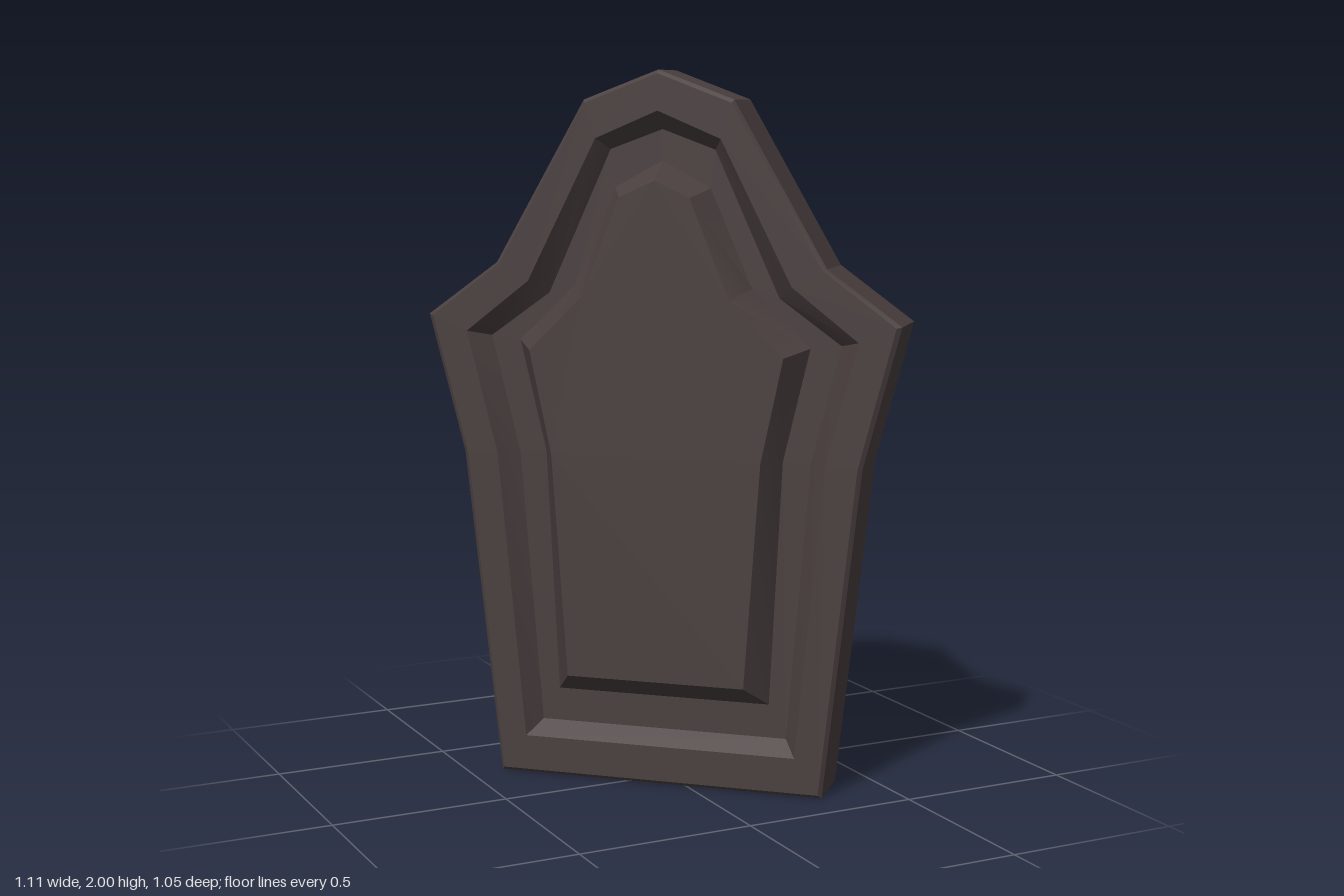
import * as THREE from 'three';
import { toCreasedNormals } from 'three/addons/utils/BufferGeometryUtils.js';

// Right half of each outline, from bottom corner to peak: [x, y]
const OUTER = [[0.473, 0], [0.576, 0.93], [0.679, 1.32], [0.473, 1.47], [0.213, 1.92], [0, 2]];
const RIM = [[0.396, 0.11], [0.474, 0.93], [0.563, 1.275], [0.378, 1.42], [0.178, 1.815], [0, 1.89]];
const FLOOR = [[0.36, 0.15], [0.424, 0.93], [0.506, 1.26], [0.332, 1.385], [0.15, 1.785], [0, 1.84]];
const BASE = [[0.31, 0.245], [0.345, 0.935], [0.42, 1.25], [0.255, 1.41], [0.137, 1.68], [0, 1.755]];
const FACE = [[0.257, 0.305], [0.302, 0.94], [0.364, 1.23], [0.212, 1.38], [0.1, 1.657], [0, 1.702]];
const EDGE = OUTER.map(([x, y]) => [x * 0.98, 0.01 + y * 0.99]);

const HALF = 0.095; // half the slab thickness
const FLOOR_Z = 0.045;
const FACE_Z = 0.126;

// Mirror a half outline into a closed counter-clockwise ring at depth z
function ring(half, z) {
  const left = half.slice(0, -1).reverse().map(([x, y]) => [-x, y]);
  return [...half, ...left].map(([x, y]) => new THREE.Vector3(x, y, z));
}

// Skin a series of rings, optionally closing the first and last
function loft(rings, capBack, capFront) {
  const n = rings[0].length;
  const index = [];
  for (let r = 0; r < rings.length - 1; r++) {
    for (let i = 0; i < n; i++) {
      const a = r * n + i, b = r * n + (i + 1) % n;
      index.push(a, b, b + n, a, b + n, a + n);
    }
  }
  const cap = (r, flip) => {
    const flat = rings[r].map((p) => new THREE.Vector2(p.x, p.y));
    for (const [a, b, c] of THREE.ShapeUtils.triangulateShape(flat, [])) {
      const o = r * n;
      if (flip) index.push(o + a, o + c, o + b);
      else index.push(o + a, o + b, o + c);
    }
  };
  if (capBack) cap(0, true);
  if (capFront) cap(rings.length - 1, false);
  const geometry = new THREE.BufferGeometry().setFromPoints(rings.flat());
  geometry.setIndex(index);
  return toCreasedNormals(geometry, 0.35);
}

export function createModel() {
  const group = new THREE.Group();
  group.name = 'gravestone';
  const stone = new THREE.MeshStandardMaterial({ color: 0x4a3f3f });

  const add = (name, geometry) => {
    const mesh = new THREE.Mesh(geometry, stone);
    mesh.name = name;
    group.add(mesh);
  };

  // Slab with fine bevelled edges and a flat frame on the front
  add('slab', loft([
    ring(EDGE, -HALF),
    ring(OUTER, -HALF + 0.01),
    ring(OUTER, HALF - 0.01),
    ring(EDGE, HALF),
    ring(RIM, HALF),
  ], true, false));

  // Sloping recess walls and the sunken floor around the panel
  add('recess', loft([ring(RIM, HALF), ring(FLOOR, FLOOR_Z), ring(BASE, FLOOR_Z)], false, false));

  // Raised panel with sloping sides, proud of the frame
  add('raisedPanel', loft([ring(BASE, FLOOR_Z), ring(FACE, FACE_Z)], false, true));

  // The stone stands turned towards its right
  group.rotation.y = -THREE.MathUtils.degToRad(43.2);
  return group;
}
